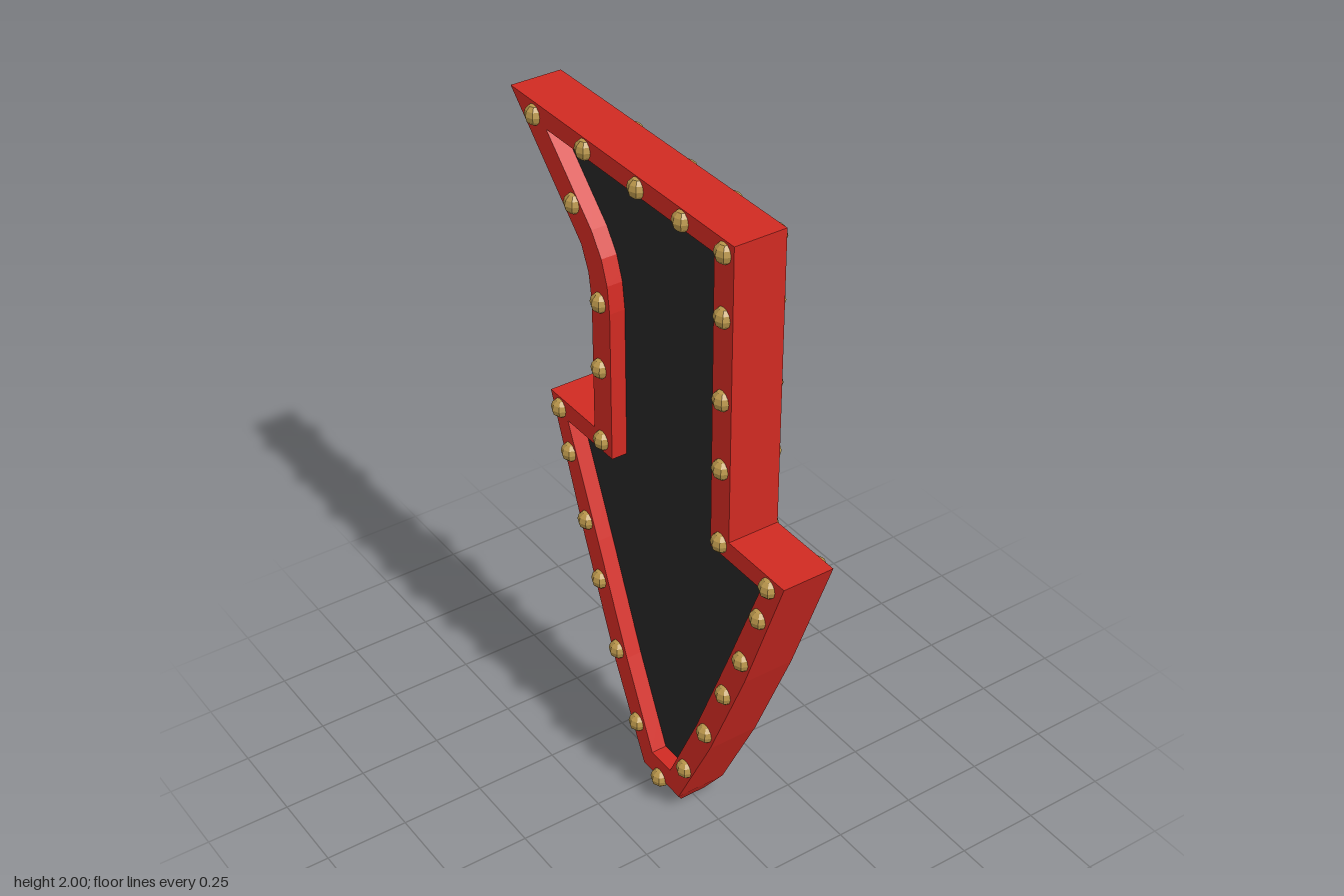
import * as THREE from 'three';

const red = new THREE.MeshStandardMaterial({ color: 0xd02a22, flatShading: true });
const black = new THREE.MeshStandardMaterial({ color: 0x252525, flatShading: true });
const gold = new THREE.MeshStandardMaterial({ color: 0xb8954a, flatShading: true });

// Profiles are drawn as (u, y) with u = -z, then extruded along x.
const OUTER = [
  [-0.38, 2], [-0.38, 1.125], [-0.615, 1.125], [-0.46, 0.71], [-0.31, 0.36], [-0.16, 0.06],
  [0.016, 0.06], [0.165, 0.36], [0.31, 0.71], [0.467, 1.125], [0.245, 1.125], [0.245, 1.53],
  [0.258, 1.61], [0.29, 1.68], [0.615, 2],
];
const INNER = [
  [-0.3, 1.945], [-0.3, 1.067], [-0.52, 1.067], [-0.385, 0.735], [-0.245, 0.4], [-0.117, 0.13],
  [-0.026, 0.13], [0.1, 0.4], [0.24, 0.735], [0.382, 1.067], [0.16, 1.067], [0.16, 1.53],
  [0.17, 1.61], [0.195, 1.68], [0.24, 1.745], [0.445, 1.945],
];
const BULBS = [
  [-0.34, 1.965], [-0.165, 1.968], [0.027, 1.968], [0.265, 1.968], [0.503, 1.963],
  [0.324, 1.785], [0.207, 1.544], [0.21, 1.336], [0.207, 1.104],
  [0.42, 1.09], [0.375, 0.966], [0.297, 0.775], [0.232, 0.605], [0.147, 0.403], [0.048, 0.196],
  [-0.064, 0.063],
  [-0.192, 0.196], [-0.288, 0.403], [-0.372, 0.605], [-0.446, 0.775], [-0.515, 0.966], [-0.55, 1.09],
  [-0.343, 1.104], [-0.343, 1.336], [-0.341, 1.544], [-0.341, 1.785],
];

const points = (list) => list.map(([u, y]) => new THREE.Vector2(u, y));

function slab(shape, thickness) {
  const geometry = new THREE.ExtrudeGeometry(shape, { depth: thickness, bevelEnabled: false });
  return geometry.translate(0, 0, -thickness / 2).rotateY(Math.PI / 2);
}

function add(parent, name, geometry, material) {
  const mesh = new THREE.Mesh(geometry, material);
  mesh.name = name;
  parent.add(mesh);
  return mesh;
}

export function createModel() {
  const model = new THREE.Group();
  model.name = 'arrowSign';

  // Raised red border around the arrow
  const rim = new THREE.Shape(points(OUTER));
  rim.holes.push(new THREE.Path(points(INNER)));
  add(model, 'rim', slab(rim, 0.155), red);

  // Dark panel recessed on both sides
  add(model, 'panel', slab(new THREE.Shape(points(INNER)), 0.06), black);

  // Tapered point below the rim
  const tip = new THREE.BoxGeometry(0.155, 0.06, 0.176);
  const p = tip.attributes.position;
  for (let i = 0; i < p.count; i++) {
    if (p.getY(i) < 0) {
      p.setX(i, p.getX(i) * 0.52);
      p.setZ(i, p.getZ(i) * 0.54);
    }
  }
  tip.computeVertexNormals();
  add(model, 'tip', tip, red).position.set(0, 0.03, 0.072);

  // Light bulbs along the border, on both faces
  const bulbs = new THREE.Group();
  bulbs.name = 'bulbs';
  model.add(bulbs);
  const bulb = new THREE.SphereGeometry(0.03, 8, 6);
  for (const side of [-1, 1]) {
    for (const [u, y] of BULBS) {
      add(bulbs, 'bulb', bulb, gold).position.set(side * 0.074, y, -u);
    }
  }
  return model;
}
